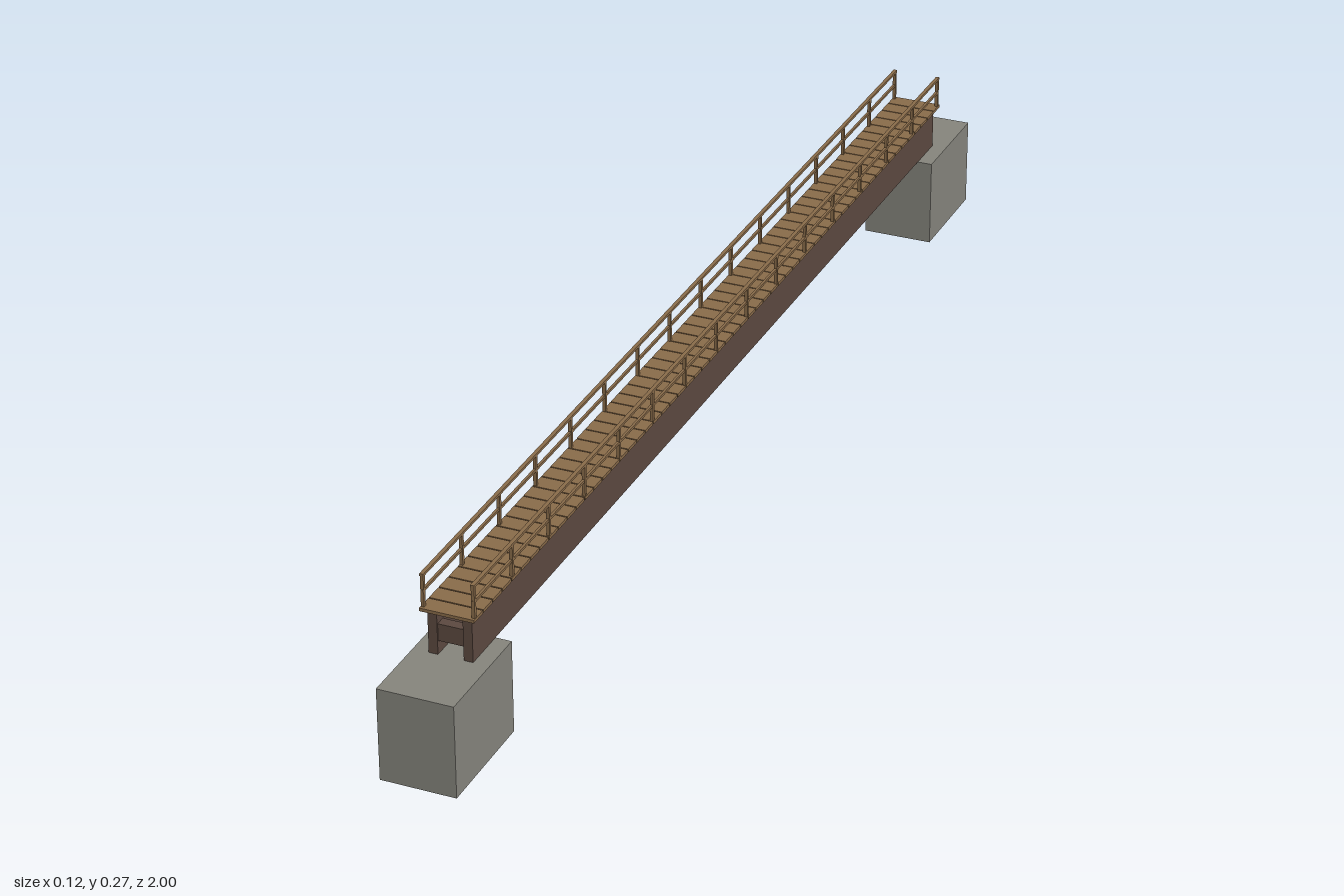
import * as THREE from 'three';

const material = (name, color) => {
  const m = new THREE.MeshStandardMaterial({ color });
  m.name = name;
  return m;
};

export function createModel() {
  const bridge = new THREE.Group();
  bridge.name = 'footbridge';
  const concrete = material('concrete grey', 0x87867e);
  const steel = material('weathered brown', 0x5d4a41);
  const wood = material('timber', 0x8b6d4b);

  // Box given by its extents on each axis
  const box = (name, mat, x0, x1, y0, y1, z0, z1) => {
    const mesh = new THREE.Mesh(new THREE.BoxGeometry(x1 - x0, y1 - y0, z1 - z0), mat);
    mesh.position.set((x0 + x1) / 2, (y0 + y1) / 2, (z0 + z1) / 2);
    mesh.name = name;
    bridge.add(mesh);
  };

  // Abutments at both ends
  box('frontAbutment', concrete, -0.058, 0.058, 0, 0.146, 0.82, 1);
  box('backAbutment', concrete, -0.058, 0.058, 0, 0.146, -1, -0.82);

  // Two main girders, each made of nine lengths
  const bays = 9, half = 0.89, bay = 2 * half / bays;
  for (const s of [-1, 1]) {
    const x0 = s > 0 ? 0.0195 : -0.0335;
    for (let i = 0; i < bays; i++) {
      const z = -half + i * bay;
      box('girder', steel, x0, x0 + 0.014, 0.146, 0.215, z, z + bay);
    }
  }

  // Cross beams between the girders
  for (let i = 0; i <= bays; i++) {
    const z = -0.88 + i * 1.76 / bays;
    box('crossBeam', steel, -0.0205, 0.0205, 0.167, 0.194, z - 0.008, z + 0.008);
  }

  // Deck planks with narrow gaps
  const planks = 60, pitch = 1.8 / planks;
  for (let i = 0; i < planks; i++) {
    const z = -0.9 + i * pitch;
    box('deckPlank', wood, -0.041, 0.041, 0.215, 0.22, z + 0.001, z + pitch - 0.001);
  }

  // Railings: posts, mid rail and top rail on each side
  for (const s of [-1, 1]) {
    const x = s * 0.038;
    for (let i = 0; i <= 15; i++) {
      const z = -0.892 + i * 1.784 / 15;
      box('railPost', wood, x - 0.0025, x + 0.0025, 0.22, 0.268, z - 0.0025, z + 0.0025);
    }
    box('midRail', wood, x - 0.002, x + 0.002, 0.243, 0.247, -0.895, 0.895);
    box('topRail', wood, x - 0.003, x + 0.003, 0.268, 0.272, -0.895, 0.895);
  }

  return bridge;
}
